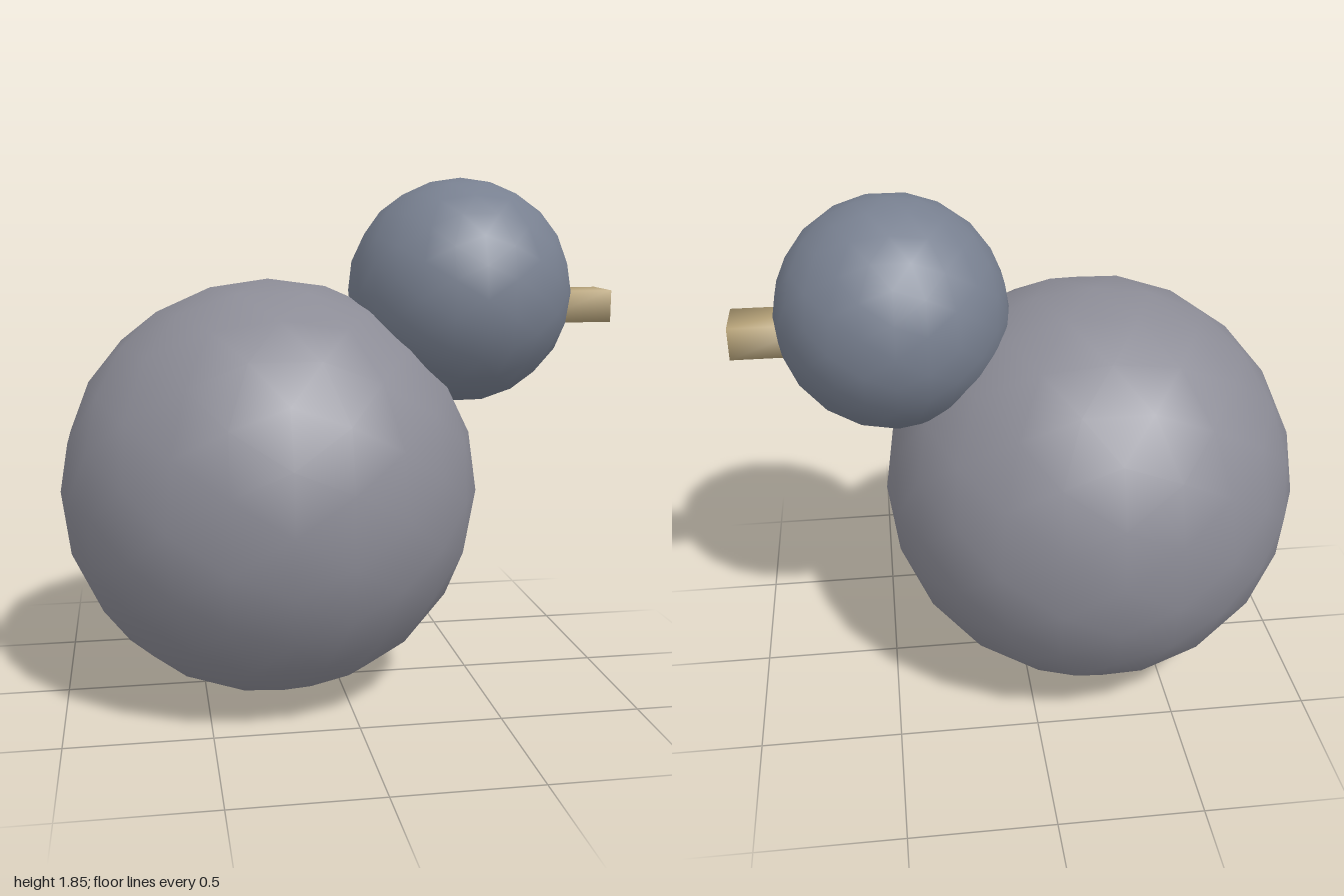
import * as THREE from 'three';
import { mergeVertices } from 'three/addons/utils/BufferGeometryUtils.js';

// Weld corners so the shading runs smoothly over every edge
function smooth(geometry) {
  geometry.deleteAttribute('normal');
  geometry.deleteAttribute('uv');
  const welded = mergeVertices(geometry, 1e-4);
  welded.computeVertexNormals();
  return welded;
}

// Icosphere: each triangle of an 80-sided ball is split in four and pushed out to the sphere
function icosphere(radius) {
  const source = new THREE.IcosahedronGeometry(1, 1).getAttribute('position');
  const points = [];
  const corner = (i) => new THREE.Vector3().fromBufferAttribute(source, i);
  const middle = (p, q) => p.clone().add(q).normalize();
  for (let i = 0; i < source.count; i += 3) {
    const [a, b, c] = [corner(i), corner(i + 1), corner(i + 2)];
    const [ab, bc, ca] = [middle(a, b), middle(b, c), middle(c, a)];
    points.push(a, ab, ca, ab, b, bc, ca, bc, c, ab, bc, ca);
  }
  const geometry = new THREE.BufferGeometry().setFromPoints(points);
  return smooth(geometry.scale(radius, radius, radius));
}

export function createModel() {
  const model = new THREE.Group();
  model.name = 'bird';

  const add = (name, geometry, color, x, y) => {
    const mesh = new THREE.Mesh(geometry, new THREE.MeshStandardMaterial({ color }));
    mesh.name = name;
    mesh.position.set(x, y, 0);
    model.add(mesh);
  };

  // Round body, smaller head up and to the side, stubby beak sunk into the head
  add('body', icosphere(0.75), 0x8c8c96, -0.25, 0.755);
  add('head', icosphere(0.404), 0x788090, 0.448, 1.453);
  add('beak', smooth(new THREE.BoxGeometry(0.3, 0.115, 0.174)), 0xb8a47a, 0.85, 1.397);

  return model;
}
